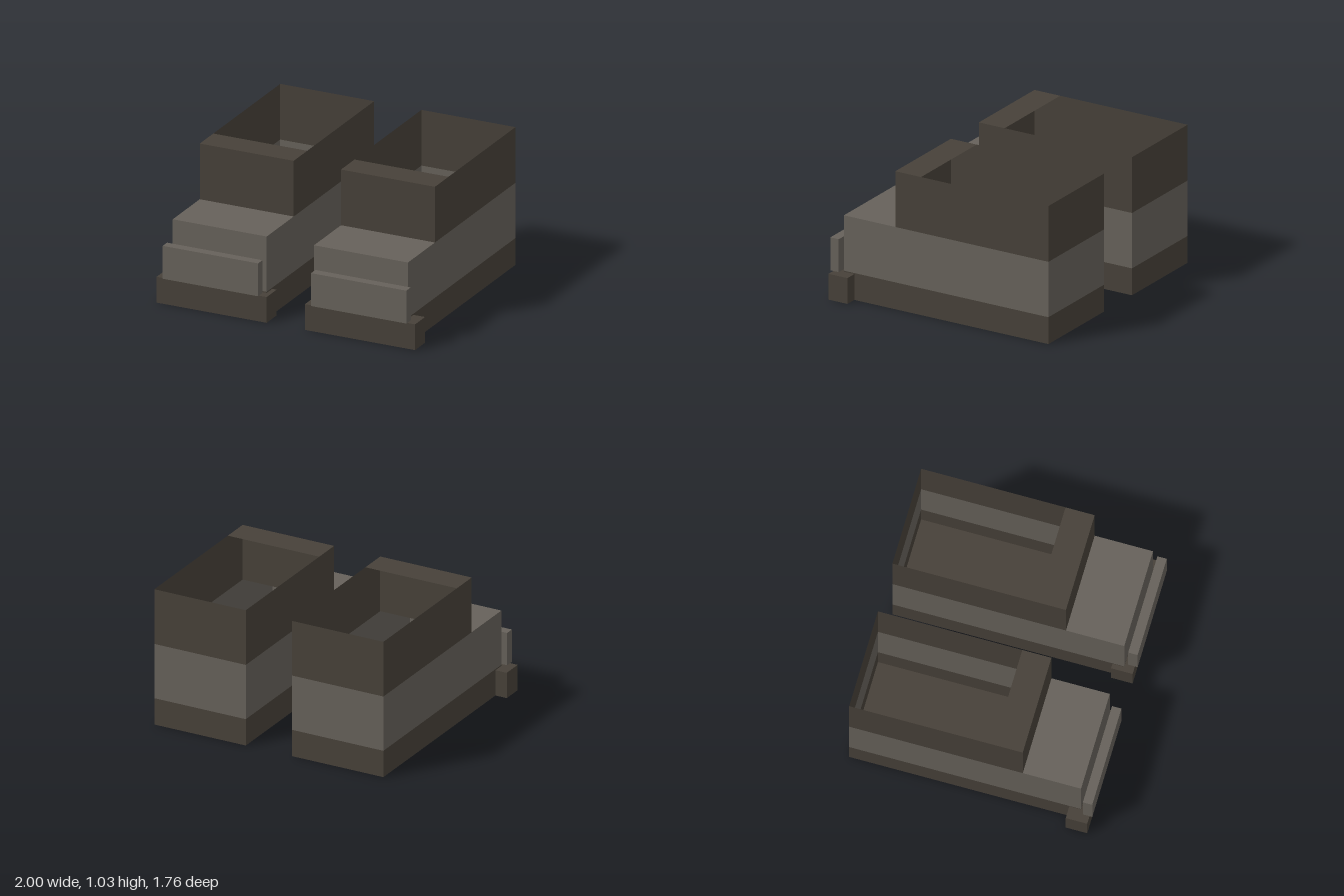
import * as THREE from 'three';

const dark = new THREE.MeshStandardMaterial({ color: 0x474139, side: THREE.DoubleSide });
dark.name = 'dark brown';
const light = new THREE.MeshStandardMaterial({ color: 0x66615a, side: THREE.DoubleSide });
light.name = 'grey brown';

// Order of the faces in a BoxGeometry, six indices each
const FACES = ['right', 'left', 'top', 'bottom', 'front', 'back'];
const WALLS = ['right', 'left', 'front', 'back'];

// Box between two corners, keeping only the listed faces
function box(name, material, [x0, y0, z0], [x1, y1, z1], faces = FACES) {
  const g = new THREE.BoxGeometry(x1 - x0, y1 - y0, z1 - z0);
  const index = Array.from(g.index.array);
  g.setIndex(faces.flatMap((f) => index.slice(FACES.indexOf(f) * 6, FACES.indexOf(f) * 6 + 6)));
  g.clearGroups();
  g.translate((x0 + x1) / 2, (y0 + y1) / 2, (z0 + z1) / 2);
  const mesh = new THREE.Mesh(g, material);
  mesh.name = name;
  return mesh;
}

function boot(name, side) {
  const group = new THREE.Group();
  group.name = name;
  // Part given by its inner and outer distance from the middle
  const add = (part, mat, inner, outer, y0, y1, z0, z1, faces) => {
    const [a, b] = side > 0 ? [inner, outer] : [-outer, -inner];
    group.add(box(part, mat, [a, y0, z0], [b, y1, z1], faces));
  };
  const IN = 0.183, OUT = 0.91, BACK = -0.88;

  // Hollow shell: sole, foot and shaft
  add('sole', dark, IN, OUT, 0, 0.2, BACK, 0.79, [...WALLS, 'bottom']);
  add('foot', light, IN, OUT, 0.2, 0.612, BACK, 0.79, WALLS);
  add('footTop', light, IN, OUT, 0.2, 0.612, 0.37, 0.79, ['top']);
  add('shaft', dark, IN, OUT, 0.612, 1.027, BACK, 0.37, WALLS);
  add('shaftRim', dark, IN, OUT, 0.612, 1.027, 0.16, 0.37, ['top']);

  // Toe bumper and the plate above it
  add('toeBumper', dark, 0.148, 1, 0, 0.192, 0.705, 0.86);
  add('toePlate', light, 0.205, 0.943, 0.195, 0.44, 0.812, 0.88);
  return group;
}

export function createModel() {
  const model = new THREE.Group();
  model.name = 'boots';
  model.add(boot('leftBoot', 1), boot('rightBoot', -1));
  return model;
}
